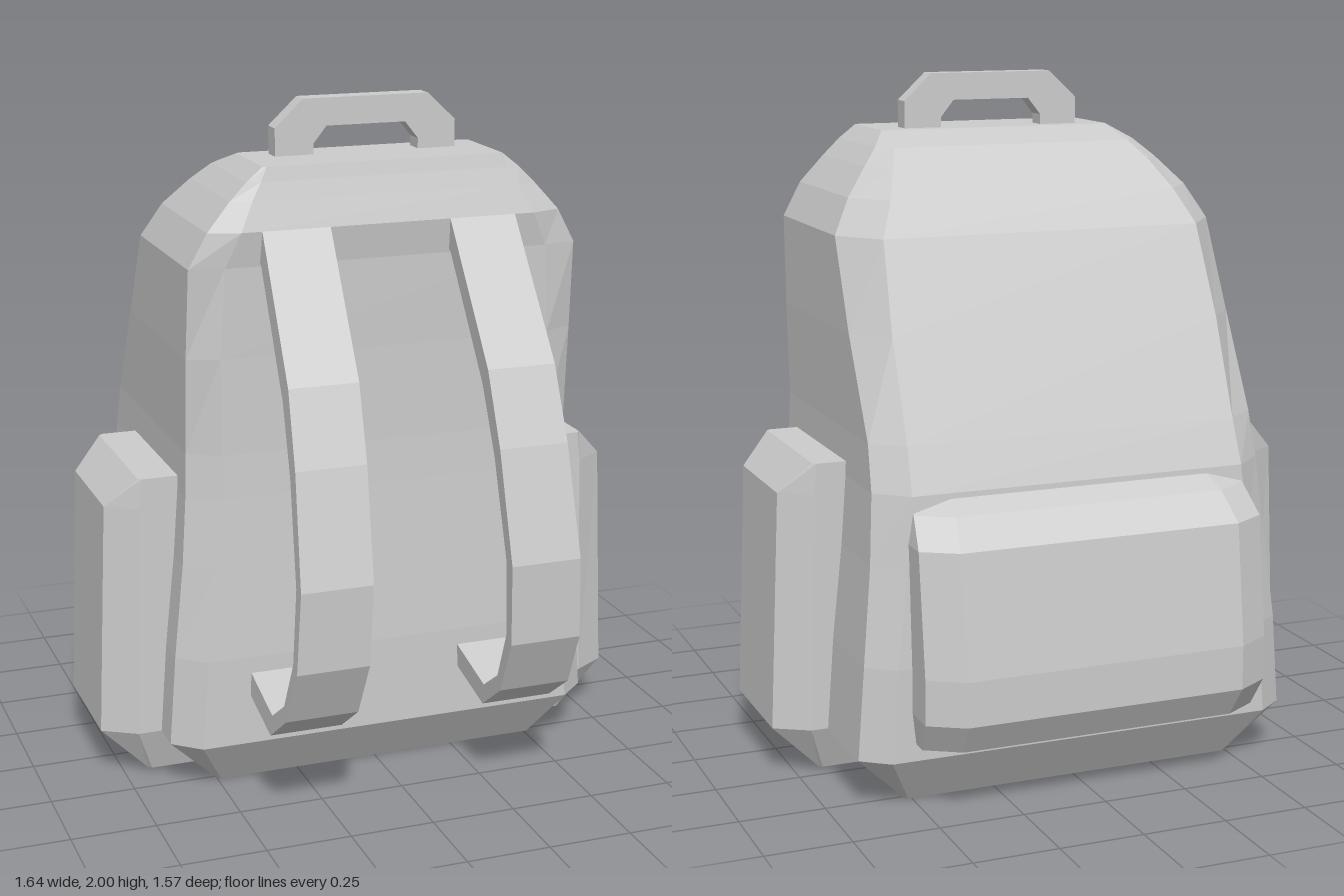
import * as THREE from 'three';

const material = new THREE.MeshStandardMaterial({ color: 0xcccccc, flatShading: true });

function part(name, geometry) {
  const mesh = new THREE.Mesh(geometry, material);
  mesh.name = name;
  return mesh;
}

// Horizontal cross-section: a rectangle with chamfered corners.
function section(y, x0, x1, front, back, cx, cFront, cBack) {
  return [
    [x0 + cx, front], [x1 - cx, front], [x1, front - cFront], [x1, back + cBack],
    [x1 - cx, back], [x0 + cx, back], [x0, back + cBack], [x0, front - cFront],
  ].map(([x, z]) => new THREE.Vector3(x, y, z));
}

// Skin a stack of sections from bottom to top and cap both ends.
function loft(sections) {
  const points = [];
  const n = sections[0].length;
  for (let k = 0; k < sections.length - 1; k++) {
    const a = sections[k], b = sections[k + 1];
    for (let i = 0; i < n; i++) {
      const j = (i + 1) % n;
      points.push(a[i], a[j], b[j], a[i], b[j], b[i]);
    }
  }
  const bottom = sections[0], top = sections[sections.length - 1];
  for (let i = 1; i < n - 1; i++) {
    points.push(bottom[0], bottom[i + 1], bottom[i], top[0], top[i], top[i + 1]);
  }
  const geometry = new THREE.BufferGeometry().setFromPoints(points);
  geometry.computeVertexNormals();
  return geometry;
}

function polygon(points) {
  return new THREE.Shape(points.map(([x, y]) => new THREE.Vector2(x, y)));
}

// Main bag: y, half width, front z, back z, corner chamfers (x, front z, back z)
function body() {
  const rows = [
    [0.00, 0.51, 0.27, -0.52, 0.01, 0.01, 0.01],
    [0.15, 0.66, 0.37, -0.62, 0.08, 0.07, 0.06],
    [0.42, 0.64, 0.37, -0.62, 0.08, 0.07, 0.06],
    [0.70, 0.61, 0.355, -0.605, 0.085, 0.06, 0.07],
    [0.90, 0.595, 0.345, -0.59, 0.09, 0.06, 0.08],
    [1.03, 0.59, 0.34, -0.54, 0.09, 0.06, 0.07],
    [1.31, 0.59, 0.34, -0.425, 0.09, 0.04, 0.11],
    [1.57, 0.585, 0.345, -0.315, 0.10, 0.02, 0.13],
    [1.67, 0.53, 0.36, -0.25, 0.09, 0.03, 0.11],
    [1.75, 0.46, 0.335, -0.16, 0.06, 0.02, 0.08],
    [1.80, 0.41, 0.32, -0.08, 0.04, 0.01, 0.05],
    [1.84, 0.36, 0.31, 0.05, 0.01, 0.005, 0.01],
  ];
  return loft(rows.map(([y, w, ...rest]) => section(y, 0.01 - w, 0.01 + w, ...rest)));
}

// Back pocket: y, back z, half width
function backPocket() {
  const rows = [
    [0.20, -0.73, 0.51], [0.29, -0.785, 0.52], [0.42, -0.785, 0.52],
    [0.77, -0.74, 0.52], [0.85, -0.66, 0.505], [0.89, -0.58, 0.49],
  ];
  return loft(rows.map(([y, back, w]) =>
    section(y, 0.01 - w, 0.01 + w, -0.35, back, 0.10, 0.05, 0.06)));
}

// Side pocket: y, outer x, front z, back z, chamfers (x, z)
function sidePocket(side) {
  const rows = [
    [0.01, 0.68, 0.15, -0.22, 0.01, 0.01],
    [0.15, 0.82, 0.20, -0.28, 0.10, 0.06],
    [0.85, 0.79, 0.20, -0.28, 0.09, 0.06],
    [0.94, 0.70, 0.20, -0.28, 0.01, 0.01],
  ];
  return loft(rows.map(([y, x, front, back, cx, cz]) =>
    section(y, side > 0 ? 0.45 : -x, side > 0 ? x : -0.45, front, back, cx, cz, cz)));
}

// Shoulder strap: side profile (z, y) spread across x, leaning outward downwards
function strap(side) {
  const profile = polygon([
    [0.32, 1.70], [0.36, 1.67], [0.49, 1.48], [0.62, 1.29], [0.70, 1.08], [0.78, 0.76],
    [0.77, 0.52], [0.69, 0.35], [0.56, 0.255], [0.37, 0.30], [0.32, 0.31],
    [0.32, 0.38], [0.37, 0.37], [0.57, 0.32], [0.67, 0.39], [0.735, 0.54], [0.74, 0.76],
    [0.66, 1.05], [0.58, 1.24], [0.48, 1.39], [0.36, 1.57], [0.32, 1.60],
  ]);
  const geometry = new THREE.ExtrudeGeometry(profile, { depth: 1, bevelEnabled: false });
  const p = geometry.attributes.position;
  for (let i = 0; i < p.count; i++) {
    const z = p.getX(i), y = p.getY(i);
    const across = side > 0 ? 1 - p.getZ(i) : p.getZ(i);
    const drop = (1.67 - y) / 1.4;
    const inner = 0.18 + 0.04 * drop, outer = 0.38 + 0.055 * drop;
    p.setXYZ(i, 0.01 + side * THREE.MathUtils.lerp(inner, outer, across), y, z);
  }
  geometry.computeVertexNormals();
  return geometry;
}

// Carry handle: angular arch
function handle() {
  const half = [[0.12, 1.92], [0.16, 1.87], [0.16, 1.82], [0.275, 1.82], [0.275, 1.92], [0.19, 2]];
  const mirrored = half.map(([x, y]) => [-x, y]).reverse();
  const geometry = new THREE.ExtrudeGeometry(polygon([...half, ...mirrored]),
    { depth: 0.06, bevelEnabled: false });
  return geometry.translate(0.01, 0, 0.095);
}

export function createModel() {
  const group = new THREE.Group();
  group.name = 'backpack';
  group.add(part('body', body()), part('backPocket', backPocket()), part('handle', handle()));
  for (const [label, side] of [['left', 1], ['right', -1]]) {
    group.add(part(label + 'SidePocket', sidePocket(side)));
    group.add(part(label + 'Strap', strap(side)));
  }
  return group;
}
